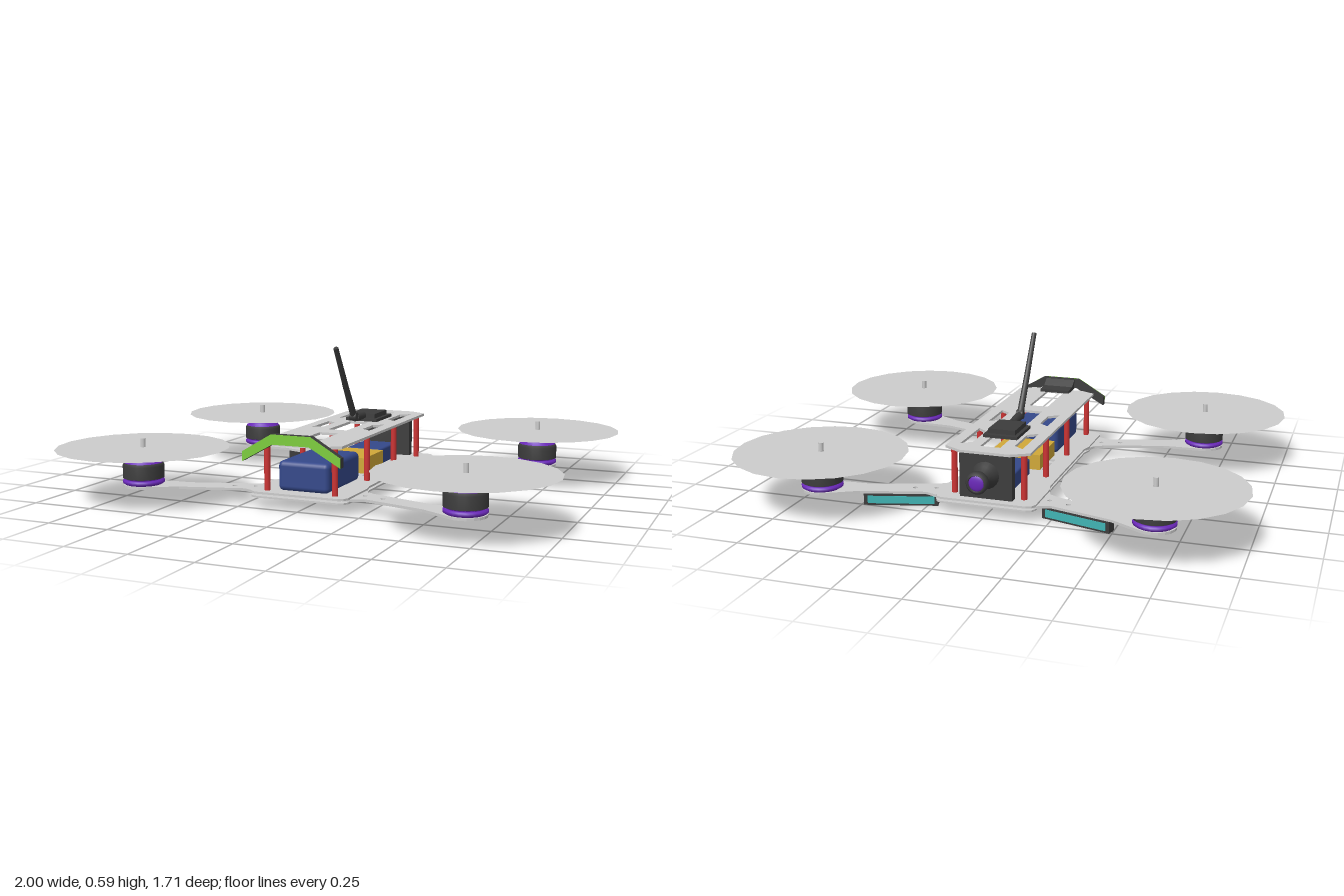
import * as THREE from 'three';
import { RoundedBoxGeometry } from 'three/addons/geometries/RoundedBoxGeometry.js';

const mat = (color, flatShading = false) =>
  new THREE.MeshStandardMaterial({ color, flatShading, side: THREE.DoubleSide });
const GREY = mat(0xcccccc), DARK = mat(0x3c3c3c), RED = mat(0xcc3333), BLUE = mat(0x34488a);
const GOLD = mat(0xd0a838), GREEN = mat(0x7ccc3c), PURPLE = mat(0x6a28b8), TEAL = mat(0x40b4b4);

export function createModel() {
  const model = new THREE.Group();

  function add(name, geo, material, x = 0, y = 0, z = 0, parent = model) {
    const mesh = new THREE.Mesh(geo, material);
    mesh.name = name;
    mesh.position.set(x, y, z);
    parent.add(mesh);
    return mesh;
  }
  // Box given by its limits on each axis
  function block(name, material, [x0, x1], [y0, y1], [z0, z1], radius = 0) {
    const s = [x1 - x0, y1 - y0, z1 - z0];
    const geo = radius ? new RoundedBoxGeometry(...s, 3, radius) : new THREE.BoxGeometry(...s);
    return add(name, geo, material, (x0 + x1) / 2, (y0 + y1) / 2, (z0 + z1) / 2);
  }
  // Horizontal sheet from an outline of [x, z] points, with holes
  const flat = pts => pts.map(([x, z]) => new THREE.Vector2(x, -z));
  function sheet(name, outline, holes, y, thickness) {
    const shape = new THREE.Shape(flat(outline));
    holes.forEach(h => shape.holes.push(new THREE.Path(flat(h))));
    const geo = new THREE.ExtrudeGeometry(shape, { depth: thickness, bevelEnabled: false });
    geo.rotateX(-Math.PI / 2);
    return add(name, geo, GREY, 0, y, 0);
  }
  const rect = (x0, x1, z0, z1) => [[x0, z0], [x1, z0], [x1, z1], [x0, z1]];
  const ring = (cx, cz, r, n = 10) => Array.from({ length: n }, (_, i) => {
    const a = i / n * Math.PI * 2;
    return [cx + r * Math.cos(a), cz + r * Math.sin(a)];
  });
  const lathe = (pts, n = 24) =>
    new THREE.LatheGeometry(pts.map(p => new THREE.Vector2(...p)), n);

  // Lower frame: two sheets with the arms clamped between them
  const base = [[-0.17, -0.5], [0.17, -0.5], [0.19, -0.49], [0.2, -0.47], [0.2, -0.29], [0.19, -0.25],
    [0.19, 0.25], [0.2, 0.29], [0.2, 0.48], [0.19, 0.5], [0.17, 0.51], [-0.17, 0.51], [-0.19, 0.5],
    [-0.2, 0.48], [-0.2, 0.29], [-0.19, 0.25], [-0.19, -0.25], [-0.2, -0.29], [-0.2, -0.47], [-0.19, -0.49]];
  const windows = [[-0.36, 0.05], [-0.17, 0.045], [0, 0.09], [0.17, 0.045], [0.36, 0.05]]
    .map(([z, h]) => rect(-0.04, 0.04, z - h, z + h));
  for (const s of [-1, 1]) windows.push(rect(s * 0.1 - 0.015, s * 0.1 + 0.015, -0.07, 0.07));
  sheet('lowerPlate', base, windows, 0.044, 0.007);
  sheet('middlePlate', base, windows, 0.059, 0.008);

  // Upper plate with centre slots and tapered side slots
  const slots = [rect(-0.04, 0.04, -0.41, -0.2), rect(-0.04, 0.04, -0.11, 0.12), rect(-0.04, 0.04, 0.2, 0.46)];
  for (const s of [-1, 1])
    for (const [a, b] of [[-0.4, -0.19], [-0.08, 0.09]])
      slots.push([[s * 0.125, a], [s * 0.125, b], [s * 0.085, b - 0.03], [s * 0.085, a + 0.03]]);
  sheet('upperPlate', [[-0.17, -0.44], [-0.1, -0.48], [0.1, -0.48], [0.17, -0.44], [0.17, 0.47],
    [0.11, 0.5], [-0.11, 0.5], [-0.17, 0.47]], slots, 0.246, 0.01);

  // Red standoffs
  for (const x of [-0.14, 0.14])
    for (const z of [0.465, 0.15, -0.145, -0.425])
      add('standoff', new THREE.CylinderGeometry(0.012, 0.012, 0.186, 12), RED, x, 0.156, z);

  // Arms, motors and propeller discs
  const bell = [[0.081, 0.086], [0.081, 0.135], [0.076, 0.146], [0.06, 0.15]];
  const cap = [[0.076, 0.146], [0.066, 0.155], [0.055, 0.17], [0.035, 0.175], [0.03, 0.186], [0, 0.186]];
  const foot = [[0, 0.06], [0.072, 0.06], [0.081, 0.066], [0.081, 0.076], [0.07, 0.079], [0.07, 0.082],
    [0.081, 0.086], [0, 0.086]];
  for (const sx of [-1, 1]) for (const sz of [-1, 1]) {
    const cx = 0.66, cz = 0.513, tilt = Math.atan(0.28);
    const tip = Array.from({ length: 13 }, (_, i) => {
      const a = tilt - 1.9 + i / 12 * 3.8;
      return [cx + 0.08 * Math.cos(a), cz + 0.08 * Math.sin(a)];
    });
    const outline = [[0.1, 0.27], [0.19, 0.28], [0.215, 0.325], [0.25, 0.345], [0.5, 0.425], ...tip,
      [0.5, 0.515], [0.25, 0.445], [0.19, 0.47], [0.1, 0.47]];
    const holes = [ring(0.31, 0.412, 0.01), ring(0.23, 0.39, 0.009), ring(cx, cz, 0.022, 14)];
    const side = pts => pts.map(([x, z]) => [x * sx, z * sz]);
    sheet('arm', side(outline), holes.map(side), 0.05, 0.01);

    const motor = new THREE.Group();
    motor.name = 'motor';
    motor.position.set(cx * sx, 0, cz * sz);
    model.add(motor);
    add('motorFoot', lathe(foot), PURPLE, 0, 0, 0, motor);
    add('motorBell', lathe(bell), DARK, 0, 0, 0, motor);
    add('motorCap', lathe(cap), PURPLE, 0, 0, 0, motor);
    add('shaft', new THREE.CylinderGeometry(0.01, 0.01, 0.06, 10), GREY, 0, 0.21, 0, motor);
    const disc = new THREE.CircleGeometry(0.34, 20).rotateX(-Math.PI / 2);
    add('propellerDisc', disc, GREY, 0, 0.205, 0, motor);
  }

  // Light bars under the rear arms
  for (const s of [-1, 1]) {
    const bar = new THREE.Group();
    bar.name = 'lightBar';
    bar.position.set(s * 0.355, 0.0225, -0.447);
    bar.rotation.y = s * Math.atan(0.28);
    model.add(bar);
    add('lightHousing', new THREE.BoxGeometry(0.29, 0.045, 0.036), DARK, 0, 0, 0, bar);
    add('lightStrip', new THREE.BoxGeometry(0.26, 0.03, 0.004), TEAL, 0, 0, -0.018, bar);
  }

  // Electronics between the plates
  block('battery', BLUE, [-0.1, 0.11], [0.067, 0.182], [0.15, 0.46], 0.02);
  block('flightController', GOLD, [-0.105, 0.105], [0.08, 0.142], [-0.115, 0.09]);
  block('rearPack', BLUE, [-0.075, 0.075], [0.07, 0.137], [-0.345, -0.15], 0.008);

  // Rear camera: housing plus a waisted lens pointing back
  block('cameraHousing', DARK, [-0.105, 0.105], [0.067, 0.24], [-0.465, -0.43]);
  const lens = lathe([[0.055, 0], [0.042, 0.025], [0.025, 0.05], [0.025, 0.065], [0.043, 0.08],
    [0.043, 0.1], [0.034, 0.11], [0.03, 0.104]], 20);
  add('cameraLens', lens.rotateX(-Math.PI / 2), DARK, 0, 0.16, -0.463);
  const glass = new THREE.SphereGeometry(0.031, 16, 6, 0, Math.PI * 2, 0, Math.PI / 2).scale(1, 0.25, 1);
  add('cameraGlass', glass.rotateX(-Math.PI / 2), PURPLE, 0, 0.16, -0.564);

  // Front bumper: bent bar with a green face, on a stepped bracket
  const bent = new THREE.Shape([[-0.2, 0.227], [-0.08, 0.298], [0.08, 0.298], [0.2, 0.227], [0.2, 0.19],
    [0.075, 0.26], [-0.075, 0.26], [-0.2, 0.19]].map(p => new THREE.Vector2(...p)));
  add('bumper', new THREE.ExtrudeGeometry(bent, { depth: 0.026, bevelEnabled: false }), DARK, 0, 0, 0.526);
  add('bumperFace', new THREE.ExtrudeGeometry(bent, { depth: 0.003, bevelEnabled: false }), GREEN, 0, 0, 0.552);
  const wedge = new THREE.Shape([[0.435, 0.256], [0.435, 0.268], [0.49, 0.272], [0.527, 0.297],
    [0.527, 0.256]].map(([z, y]) => new THREE.Vector2(-z, y)));
  const bracket = new THREE.ExtrudeGeometry(wedge, { depth: 0.13, bevelEnabled: false });
  add('bumperBracket', bracket.rotateY(Math.PI / 2), DARK, -0.065, 0, 0);

  // Transmitter with hinged antenna
  block('transmitterBase', DARK, [-0.07, 0.07], [0.256, 0.268], [-0.3, -0.13]);
  block('transmitterLid', DARK, [-0.055, 0.055], [0.268, 0.287], [-0.28, -0.145]);
  const rod = (name, a, b, r0, r1) => {
    const from = new THREE.Vector3(...a), dir = new THREE.Vector3(...b).sub(from);
    const mesh = add(name, new THREE.CylinderGeometry(r1, r0, dir.length(), 12), DARK);
    mesh.position.copy(from).addScaledVector(dir, 0.5);
    mesh.quaternion.setFromUnitVectors(new THREE.Vector3(0, 1, 0), dir.normalize());
  };
  rod('antennaSocket', [0, 0.278, -0.15], [0, 0.282, -0.06], 0.016, 0.018);
  rod('antennaHinge', [-0.014, 0.287, -0.05], [0.014, 0.287, -0.05], 0.018, 0.018);
  rod('antennaSleeve', [0, 0.287, -0.05], [0, 0.42, 0.035], 0.014, 0.012);
  rod('antennaRod', [0, 0.42, 0.035], [0, 0.585, 0.135], 0.012, 0.01);

  return model;
}
